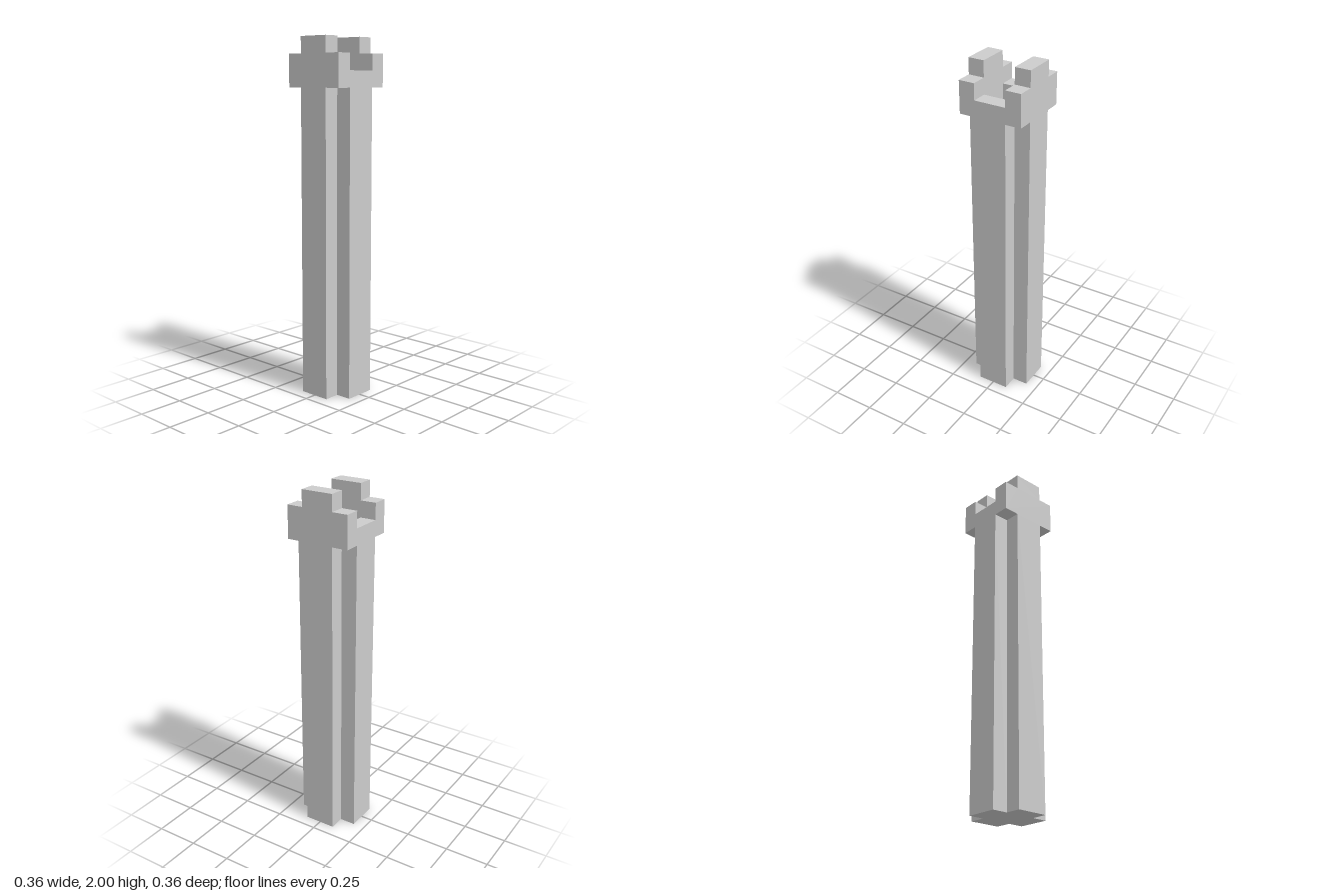
import * as THREE from 'three';

const U = 1 / 11; // one block unit: the tower is 22 units tall and 4 wide

const material = new THREE.MeshStandardMaterial({ color: 0xcccccc, flatShading: true });

function extrude(points, depth) {
  const shape = new THREE.Shape(points.map(([x, y]) => new THREE.Vector2(x * U, y * U)));
  return new THREE.ExtrudeGeometry(shape, { depth: depth * U, bevelEnabled: false });
}

export function createModel() {
  const tower = new THREE.Group();
  tower.name = 'tower';
  const add = (name, geometry) => {
    const mesh = new THREE.Mesh(geometry, material);
    mesh.name = name;
    tower.add(mesh);
    return mesh;
  };

  // Shaft: plus-shaped section, its top is the floor of the turret
  const plus = [
    [-1, -2], [1, -2], [1, -1], [2, -1], [2, 1], [1, 1],
    [1, 2], [-1, 2], [-1, 1], [-2, 1], [-2, -1], [-1, -1],
  ];
  add('shaft', extrude(plus, 19).rotateX(-Math.PI / 2));

  // Front and back parapets with a raised middle merlon
  const parapet = [[-2, 19], [2, 19], [2, 21], [1, 21], [1, 22], [-1, 22], [-1, 21], [-2, 21]];
  add('frontParapet', extrude(parapet, 1)).position.z = U;
  add('backParapet', extrude(parapet, 1)).position.z = -2 * U;

  // Low sills closing the left and right sides
  for (const side of [1, -1]) {
    const sill = add(side > 0 ? 'leftSill' : 'rightSill', new THREE.BoxGeometry(U, U, 2 * U));
    sill.position.set(side * 1.5 * U, 19.5 * U, 0);
  }

  return tower;
}
